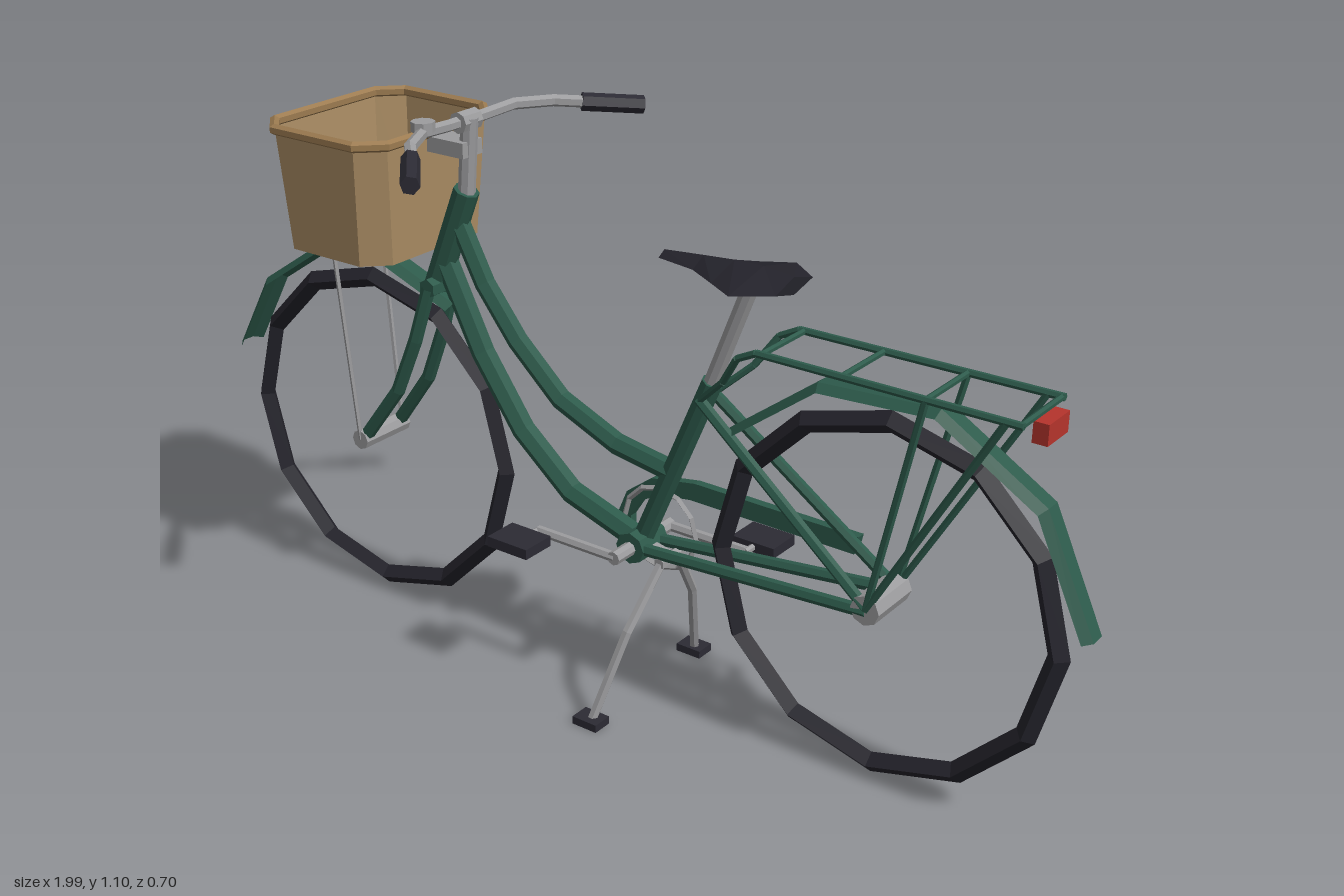
import * as THREE from 'three';

const mat = (name, color, side = THREE.FrontSide) =>
  Object.assign(new THREE.MeshStandardMaterial({ color, side, flatShading: true }), { name });
const V = (p) => new THREE.Vector3(...p);

export function createModel() {
  const green = mat('green paint', 0x2d5a4b, THREE.DoubleSide);
  const steel = mat('steel', 0x9c9c9e, THREE.DoubleSide);
  const tyre = mat('tyre rubber', 0x24232b);
  const black = mat('black plastic', 0x2c2b34);
  const wicker = mat('wicker', 0xab8d64, THREE.DoubleSide);
  const wickerRim = mat('wicker rim', 0x9c7b50);
  const red = mat('red lens', 0xb5342c);

  const bike = new THREE.Group();
  bike.name = 'bicycle';
  const add = (name, geo, material, pos = [0, 0, 0]) => {
    const m = new THREE.Mesh(geo, material);
    m.name = name;
    m.position.set(...pos);
    bike.add(m);
    return m;
  };
  const box = (name, size, pos, material) => add(name, new THREE.BoxGeometry(...size), material, pos);
  // Straight capped tube between two points
  const rod = (name, a, b, r, material, sides = 6) => {
    const d = V(b).sub(V(a));
    const m = add(name, new THREE.CylinderGeometry(r, r, d.length(), sides), material);
    m.position.copy(V(a)).addScaledVector(d, 0.5);
    m.quaternion.setFromUnitVectors(new THREE.Vector3(0, 1, 0), d.normalize());
    return m;
  };
  // Bent tube with one straight segment between neighbouring points
  const pipe = (name, pts, r, material, closed = false, sides = 6) => {
    const c = new THREE.CatmullRomCurve3(pts.map(V), closed);
    c.getPointAt = (t, o) => c.getPoint(t, o);
    c.getTangentAt = (t, o) => c.getTangent(t, o);
    return add(name, new THREE.TubeGeometry(c, closed ? pts.length : pts.length - 1, r, sides, closed), material);
  };
  // Surface through equal-sized cross-sections
  const loft = (sections, closed, caps) => {
    const n = sections[0].length, idx = [];
    for (let i = 0; i < sections.length - 1; i++)
      for (let j = 0; j < (closed ? n : n - 1); j++) {
        const a = i * n + j, b = i * n + (j + 1) % n;
        idx.push(a, a + n, b, b, a + n, b + n);
      }
    if (caps) {
      const e = (sections.length - 1) * n;
      for (let j = 1; j < n - 1; j++) idx.push(0, j, j + 1, e, e + j + 1, e + j);
    }
    const g = new THREE.BufferGeometry();
    g.setAttribute('position', new THREE.Float32BufferAttribute(sections.flat(2), 3));
    g.setIndex(idx);
    g.computeVertexNormals();
    return g;
  };
  const bothSides = (fn) => [1, -1].forEach(fn);

  // Wheels, hubs and mudguards
  const fx = -0.607, rx = 0.592, hy = 0.37;
  for (const [end, x, from, to] of [['front', fx, 164, 56], ['rear', rx, 8, 144]]) {
    add(end + 'Tyre', new THREE.TorusGeometry(0.34, 0.021, 4, 12), tyre, [x, hy, 0]);
    const sections = [];
    for (let i = 0; i <= 4; i++) {
      const t = THREE.MathUtils.degToRad(from + (to - from) * i / 4);
      sections.push([[0.392, -0.032], [0.407, -0.016], [0.407, 0.016], [0.392, 0.032]].map(
        ([r, z]) => [x + r * Math.cos(t), hy + r * Math.sin(t), z]));
    }
    add(end + 'Mudguard', loft(sections, false, false), green);
  }
  rod('frontHub', [fx, hy, -0.065], [fx, hy, 0.065], 0.021, steel, 8);
  rod('rearHub', [rx, hy, -0.058], [rx, hy, 0.058], 0.029, steel, 8);

  // Frame
  rod('headTube', [-0.435, 0.73, 0], [-0.35, 0.94, 0], 0.026, green, 8);
  pipe('upperTube', [[-0.375, 0.88, 0], [-0.31, 0.76, 0], [-0.23, 0.66, 0], [-0.125, 0.565, 0],
    [0.01, 0.508, 0], [0.14, 0.487, 0]], 0.021, green);
  pipe('lowerTube', [[-0.41, 0.79, 0], [-0.32, 0.615, 0], [-0.22, 0.475, 0], [-0.1, 0.375, 0],
    [0.07, 0.32, 0]], 0.024, green);
  rod('seatTube', [0.067, 0.315, 0], [0.225, 0.69, 0], 0.021, green, 8);
  rod('bottomBracket', [0.07, 0.32, -0.04], [0.07, 0.32, 0.04], 0.032, green, 8);
  rod('forkCrown', [-0.425, 0.735, -0.042], [-0.425, 0.735, 0.042], 0.02, green);
  bothSides((s) => {
    pipe('forkBlade', [[-0.425, 0.735, s * 0.036], [-0.46, 0.62, s * 0.042], [-0.51, 0.5, s * 0.046],
      [fx, hy, s * 0.05]], 0.014, green);
    rod('seatStay', [0.21, 0.66, s * 0.022], [rx, hy, s * 0.05], 0.011, green);
    rod('chainStay', [0.07, 0.318, s * 0.025], [rx, 0.365, s * 0.05], 0.012, green);
  });

  // Handlebar and stem
  rod('steerer', [-0.35, 0.93, 0], [-0.337, 1.085, 0], 0.017, steel, 8);
  rod('stemClamp', [-0.345, 1.077, -0.025], [-0.345, 1.077, 0.025], 0.021, steel, 8);
  pipe('handlebar', [[-0.24, 1.073, -0.265], [-0.3, 1.08, -0.205], [-0.338, 1.083, -0.13], [-0.347, 1.077, -0.05],
    [-0.347, 1.077, 0.05], [-0.338, 1.083, 0.13], [-0.3, 1.08, 0.205], [-0.24, 1.073, 0.265]], 0.012, steel);
  bothSides((s) => rod('grip', [-0.262, 1.075, s * 0.245], [-0.18, 1.063, s * 0.337], 0.018, black));
  rod('bell', [-0.345, 1.083, 0.12], [-0.345, 1.102, 0.12], 0.023, steel, 8);

  // Basket
  const bx = -0.567;
  const ring = (hx, hz, y) => {
    const c = 0.045;
    return [[hx, hz - c], [hx - c, hz], [c - hx, hz], [-hx, hz - c], [-hx, c - hz], [c - hx, -hz],
      [hx - c, -hz], [hx, c - hz]].map(([x, z]) => [bx + x, y, z]);
  };
  add('basketWall', loft([ring(0.133, 0.168, 0.805), ring(0.147, 0.184, 1.045)], true, false), wicker);
  const floor = ring(0.133, 0.168, 0.808);
  add('basketFloor', loft([floor, floor.map(([, y]) => [bx, y, 0])], true, false), wicker);
  pipe('basketRim', ring(0.148, 0.184, 1.046), 0.011, wickerRim, true);
  box('basketBracket', [0.09, 0.03, 0.056], [-0.377, 1.025, 0], steel);
  rod('headlight', [-0.768, 0.945, 0], [-0.69, 0.945, 0], 0.023, steel, 8);
  bothSides((s) => rod('basketStrut', [-0.65, 0.81, s * 0.07], [fx, hy, s * 0.062], 0.005, steel, 5));

  // Saddle
  rod('seatPost', [0.218, 0.675, 0], [0.305, 0.9, 0], 0.016, steel, 8);
  const saddle = [[0.115, 0.018, 0.918, 0.9], [0.2, 0.034, 0.925, 0.895], [0.265, 0.072, 0.93, 0.888],
    [0.325, 0.108, 0.931, 0.886], [0.388, 0.06, 0.925, 0.892]].map(([x, w, top, low]) =>
    [[x, top, 0], [x, 0.907, w], [x, low, 0], [x, 0.907, -w]]);
  // wind outward: top, left, bottom, right along +x
  add('saddle', loft(saddle.map((s) => s.slice().reverse()), true, true),
    Object.assign(tyre.clone(), { name: 'saddle black', side: THREE.DoubleSide }));

  // Rear rack and lamp
  bothSides((s) => {
    const rail = [[0.215, 0.66, s * 0.025], [0.28, 0.72, s * 0.05], [0.32, 0.78, s * 0.068], [0.36, 0.8, s * 0.07],
      [0.865, 0.8, s * 0.074]];
    for (let i = 0; i < 4; i++) rod('rackRail', rail[i], rail[i + 1], 0.007, green);
    for (const x of [0.69, 0.835]) rod('rackStrut', [x, 0.8, s * 0.073], [rx, hy, s * 0.055], 0.007, green);
  });
  for (const x of [0.37, 0.53, 0.69, 0.86])
    rod('rackCrossbar', [x, 0.8, -0.074], [x, 0.8, 0.074], 0.006, green);
  box('tailLamp', [0.028, 0.038, 0.074], [0.877, 0.778, 0], red);

  // Chain guard, a flat plate hooked around the chainring
  const guard = new THREE.Shape([[0.5, 0.403], [0.508, 0.44], [0.15, 0.442], [0.05, 0.425], [-0.01, 0.38],
    [-0.035, 0.32], [-0.018, 0.27], [0.0, 0.29], [0.0, 0.33], [0.025, 0.37], [0.07, 0.395], [0.14, 0.405]]
    .map(([x, y]) => new THREE.Vector2(x, y)));
  add('chainGuard', new THREE.ExtrudeGeometry(guard, { depth: 0.018, bevelEnabled: false }), green, [0, 0, -0.076]);
  add('chainring', new THREE.TorusGeometry(0.085, 0.006, 4, 12), steel, [0.07, 0.325, -0.058]);

  // Cranks and pedals
  rod('crankSpindle', [0.07, 0.32, -0.092], [0.07, 0.32, 0.092], 0.014, steel, 8);
  bothSides((s) => {
    const px = 0.068 - s * 0.185;
    rod('crankArm', [0.07, 0.32, s * 0.085], [px, 0.32, s * 0.085], 0.01, steel);
    rod('pedalAxle', [px, 0.32, s * 0.08], [px, 0.32, s * 0.11], 0.007, steel);
    box('pedal', [0.095, 0.021, 0.074], [px, 0.32, s * 0.143], black);
  });

  // Two-legged stand
  bothSides((s) => {
    pipe('standLeg', [[0.135, 0.305, s * 0.025], [0.115, 0.185, s * 0.107], [0.08, 0.012, s * 0.17]], 0.01, steel);
    box('standFoot', [0.056, 0.016, 0.042], [0.077, 0.008, s * 0.172], black);
  });
  rod('standPivot', [0.135, 0.305, -0.035], [0.135, 0.305, 0.035], 0.012, steel);
  rod('standMount', [0.07, 0.318, 0], [0.135, 0.305, 0], 0.014, steel);

  return bike;
}
